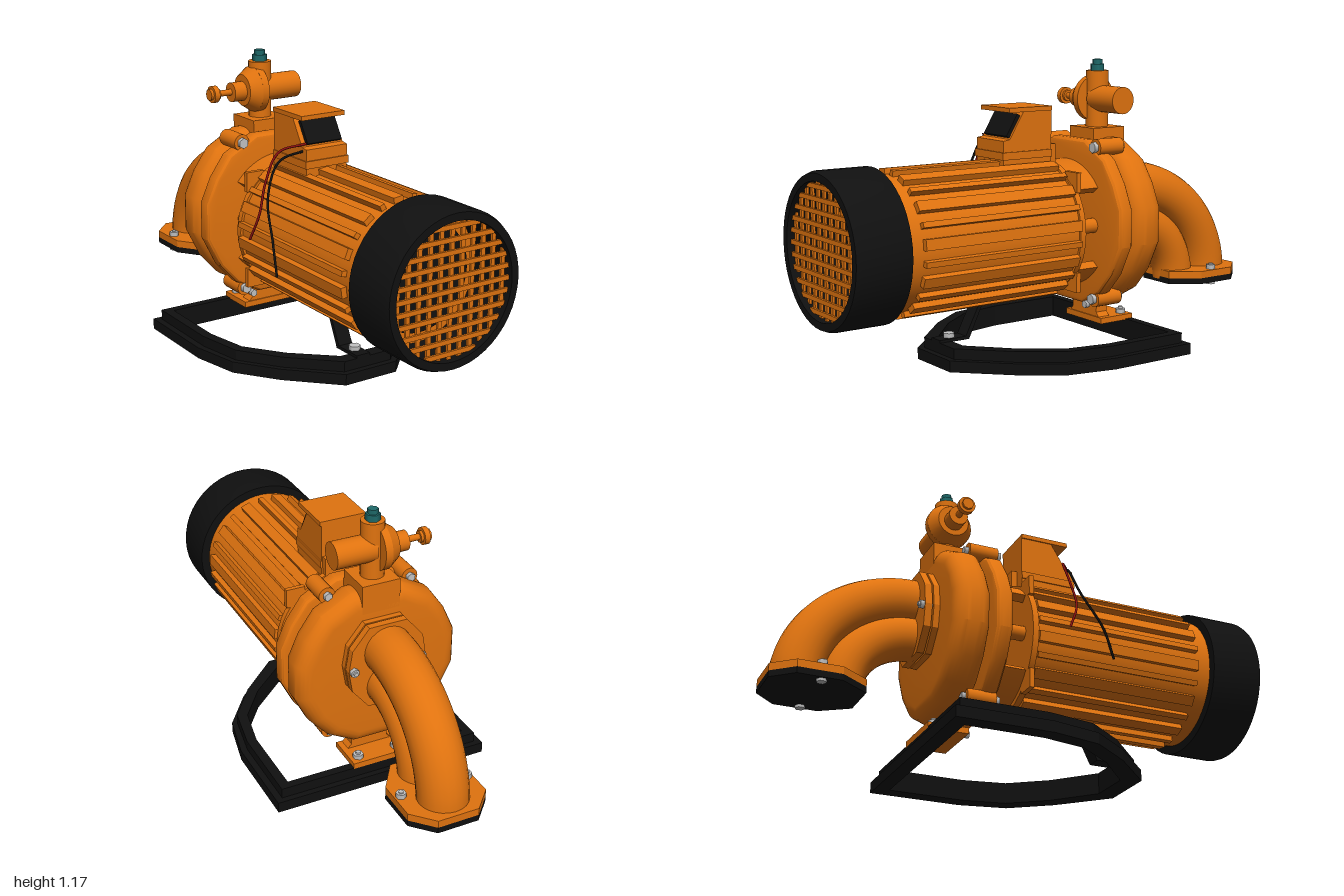
import * as THREE from 'three';
import { toCreasedNormals } from 'three/addons/utils/BufferGeometryUtils.js';

const material = (name, color, side = THREE.FrontSide) => {
  const m = new THREE.MeshStandardMaterial({ color, side });
  m.name = name;
  return m;
};

export function createModel() {
  const orange = material('orange paint', 0xe0730f, THREE.DoubleSide);
  const black = material('black rubber', 0x101010, THREE.DoubleSide);
  const steel = material('steel', 0xc4c4c4);
  const teal = material('teal fitting', 0x1f6b6b);
  const red = material('red wire', 0x8b1010);
  const root = new THREE.Group();
  root.name = 'motorPump';
  const AXIS = 0.51; // height of the motor shaft

  const add = (name, geo, mat, x = 0, y = 0, z = 0) => {
    const m = new THREE.Mesh(geo, mat);
    m.name = name;
    m.position.set(x, y, z);
    root.add(m);
    return m;
  };
  const box = (name, mat, x0, x1, y0, y1, z0, z1) =>
    add(name, new THREE.BoxGeometry(x1 - x0, y1 - y0, z1 - z0), mat, (x0 + x1) / 2, (y0 + y1) / 2, (z0 + z1) / 2);
  // Cylinder along an axis, centred on a point
  const rod = (name, mat, axis, r, len, x, y, z, sides = 24, r2 = r) => {
    const g = new THREE.CylinderGeometry(r2, r, len, sides);
    if (axis === 'x') g.rotateZ(-Math.PI / 2);
    if (axis === 'z') g.rotateX(Math.PI / 2);
    return add(name, g, mat, x, y, z);
  };
  // Mirrored outline from the +x half
  const outline = (half) => new THREE.Shape(
    [...half, ...half.slice().reverse().map(([x, y]) => [-x, y])].map(([x, y]) => new THREE.Vector2(x, y)));
  const plate = (shape, depth, bevel = 0, segments = 1) => {
    const g = new THREE.ExtrudeGeometry(shape, {
      depth: depth - 2 * bevel, bevelEnabled: bevel > 0, bevelSize: bevel, bevelThickness: bevel,
      bevelOffset: -bevel, bevelSegments: segments, curveSegments: 20,
    });
    g.translate(0, 0, bevel);
    return segments > 1 ? toCreasedNormals(g, 0.5) : g;
  };
  // Plate whose outline is given in x and z, hanging down from y = 0
  const flatPlate = (shape, depth) => plate(shape, depth).rotateX(Math.PI / 2);
  const lathe = (pts, seg = 48) => toCreasedNormals(
    new THREE.LatheGeometry(pts.map(([r, z]) => new THREE.Vector2(r, z)), seg).rotateX(Math.PI / 2), 0.5);

  // Motor body with cooling ribs
  rod('motorBody', orange, 'z', 0.265, 0.79, 0, AXIS, 0.385, 48);
  for (let i = 0; i < 24; i++) {
    const a = ((i + 0.5) / 24) * Math.PI * 2;
    const wide = i % 2 === 0;
    const rib = add('coolingRib', new THREE.BoxGeometry(0.04, wide ? 0.042 : 0.022, 0.71), orange,
      Math.cos(a) * 0.267, AXIS + Math.sin(a) * 0.267, 0.355);
    rib.rotation.z = a;
  }
  rod('motorEndRing', orange, 'z', 0.275, 0.025, 0, AXIS, -0.012, 48);
  for (const s of [-1, 1]) for (const t of [-1, 1])
    box('motorEndEar', orange, s * 0.2 - 0.04, s * 0.2 + 0.04, AXIS + t * 0.2 - 0.04, AXIS + t * 0.2 + 0.04, -0.025, -0.005);
  box('motorTopLug', orange, -0.07, 0.07, 0.75, 0.85, -0.025, 0);

  // Fan cover, open at the front
  add('fanCover', lathe([[0.265, 0.775], [0.3, 0.775], [0.3, 0.98], [0.292, 1], [0.262, 1], [0.262, 0.775]]), black, 0, AXIS);
  rod('fanBack', orange, 'z', 0.262, 0.02, 0, AXIS, 0.775, 48);
  rod('fanDisc', black, 'z', 0.215, 0.03, 0, AXIS, 0.79, 32);
  const step = 0.0475;
  for (let i = -5; i <= 5; i++) {
    const p = i * step;
    const half = Math.sqrt(0.264 ** 2 - p * p);
    box('grilleUpright', orange, p - 0.009, p + 0.009, AXIS - half, AXIS + half, 0.965, 0.975);
    box('grilleCrossbar', orange, -half, half, AXIS + p - 0.009, AXIS + p + 0.009, 0.973, 0.983);
  }

  // Open lantern between motor and pump
  const arc = new THREE.Shape();
  arc.absarc(0, 0, 0.26, Math.PI / 2 - 0.9, Math.PI / 2 + 0.9, false);
  arc.absarc(0, 0, 0.225, Math.PI / 2 + 0.9, Math.PI / 2 - 0.9, true);
  for (const turn of [0, Math.PI])
    add('lanternShell', plate(arc, 0.14), orange, 0, AXIS + 0.005, -0.155).rotation.z = turn;
  for (const s of [-1, 1]) rod('lanternStrut', orange, 'z', 0.03, 0.14, s * 0.175, 0.52, -0.085, 16);

  // Pump cover and volute casing
  const casing = outline([[0.11, 0.86], [0.236, 0.79], [0.3, 0.7], [0.345, 0.6], [0.345, 0.45], [0.285, 0.33], [0.21, 0.245], [0.1, 0.185]]);
  add('pumpCover', plate(casing, 0.07, 0.02, 3), orange, 0, 0, -0.207);
  add('volute', plate(casing, 0.15, 0.06, 6), orange, 0, 0, -0.37);
  for (const s of [-1, 1]) {
    for (const [x, y] of [[0.177, 0.835], [0.17, 0.215]]) {
      rod('casingEar', orange, 'z', 0.034, 0.12, s * x, y, -0.205, 20);
      rod('casingBolt', steel, 'z', 0.022, 0.02, s * x, y, -0.137, 6);
      rod('casingBoltNut', steel, 'z', 0.018, 0.02, s * x, y, -0.272, 6);
    }
    rod('lowerBolt', steel, 'z', 0.016, 0.02, s * 0.14, 0.19, -0.13, 6);
  }

  // Inlet flange, elbow made of two joined bends, and foot flange
  const inlet = outline([[0.08, 0.755], [0.15, 0.67], [0.165, 0.58], [0.15, 0.49], [0.08, 0.405]]);
  add('inletFlange', plate(inlet, 0.032), orange, 0, 0, -0.395);
  add('elbowFlange', plate(inlet, 0.03), orange, 0, 0, -0.431);
  const bend = (name, a, b, r) => {
    const pts = [];
    for (let i = 0; i <= 10; i++) {
      const t = (i / 10) * Math.PI / 2;
      pts.push(new THREE.Vector3(0, 0.22 + b * Math.cos(t), -0.42 - a * Math.sin(t)));
    }
    add(name, new THREE.TubeGeometry(new THREE.CatmullRomCurve3(pts), 28, r, 24), orange);
  };
  bend('outerBend', 0.462, 0.422, 0.1);
  bend('innerBend', 0.29, 0.27, 0.088);
  const foot = outline([[0.085, -1], [0.165, -0.915], [0.165, -0.74], [0.085, -0.625]]);
  add('outletFlange', flatPlate(foot, 0.03), orange, 0, 0.255);
  add('outletGasket', flatPlate(foot, 0.025), black, 0, 0.225);
  for (const s of [-1, 1]) {
    rod('outletBolt', steel, 'y', 0.01, 0.09, s * 0.14, 0.235, -0.815, 12);
    rod('outletNut', steel, 'y', 0.02, 0.02, s * 0.14, 0.265, -0.815, 6);
    rod('outletBoltHead', steel, 'y', 0.02, 0.012, s * 0.14, 0.195, -0.815, 6);
    rod('inletBolt', steel, 'z', 0.009, 0.1, s * 0.145, 0.58, -0.405, 12);
    rod('inletNut', steel, 'z', 0.018, 0.018, s * 0.145, 0.58, -0.438, 6);
  }

  // Valve on top
  box('valveBase', orange, -0.08, 0.08, 0.78, 0.9, -0.37, -0.21);
  rod('valveStem', orange, 'y', 0.047, 0.25, 0, 1.005, -0.29);
  rod('valveDisc', orange, 'x', 0.065, 0.045, -0.062, 1.015, -0.29, 28, 0.095);
  rod('valveDiscRim', orange, 'x', 0.095, 0.03, -0.025, 1.015, -0.29, 28);
  rod('valveOutlet', orange, 'x', 0.055, 0.17, 0.085, 1.015, -0.29, 28);
  rod('valveNeck', orange, 'x', 0.04, 0.06, -0.11, 1.012, -0.29);
  rod('valveSpindle', orange, 'x', 0.013, 0.08, -0.175, 1.013, -0.29, 12);
  rod('valveKnob', orange, 'x', 0.024, 0.045, -0.22, 1.013, -0.29, 8);
  rod('valveKnobRim', orange, 'x', 0.035, 0.022, -0.22, 1.013, -0.29, 16);
  rod('plugNut', teal, 'y', 0.03, 0.028, 0, 1.143, -0.29, 6);
  rod('plugTop', teal, 'y', 0.022, 0.022, 0, 1.165, -0.29, 6);

  // Terminal box with a sloping dark panel and a hood
  const side = new THREE.Shape([[0, 0.76], [-0.23, 0.76], [-0.23, 0.875], [-0.2, 0.88], [-0.135, 0.985], [0, 0.985]]
    .map(([a, b]) => new THREE.Vector2(a, b)));
  add('terminalBox', plate(side, 0.19).rotateY(Math.PI / 2), orange, -0.115);
  box('terminalHood', orange, -0.12, 0.08, 0.985, 1.003, 0, 0.205);
  box('terminalSkirt', orange, -0.12, 0.08, 0.8, 0.83, 0.0, 0.236);
  const panel = add('terminalPanel', new THREE.BoxGeometry(0.16, 0.1, 0.02), black, -0.015, 0.93, 0.175);
  panel.rotation.x = -0.55;

  // Loose wires
  const wire = (name, mat, pts) => add(name, new THREE.TubeGeometry(
    new THREE.CatmullRomCurve3(pts.map((p) => new THREE.Vector3(...p))), 32, 0.005, 6), mat);
  wire('blackWire', black, [[-0.1, 0.87, 0.21], [-0.2, 0.83, 0.17], [-0.265, 0.7, 0.19], [-0.295, 0.55, 0.27], [-0.302, 0.42, 0.31]]);
  wire('redWire', red, [[-0.1, 0.895, 0.21], [-0.19, 0.86, 0.15], [-0.25, 0.75, 0.15], [-0.285, 0.63, 0.16], [-0.305, 0.52, 0.12]]);

  // Base frame: a wide lower rim and a narrower upper rim
  const frame = (name, half, top, depth) => {
    const shape = outline(half);
    shape.holes.push(outline([[0.395, -0.355], [0.395, -0.04], [0.36, 0.14], [0.25, 0.29], [0.09, 0.435]]));
    add(name, flatPlate(shape, depth), black, 0, top);
  };
  frame('frameLowerRim', [[0.462, -0.415], [0.462, -0.03], [0.42, 0.17], [0.3, 0.335], [0.12, 0.515]], 0.05, 0.045);
  frame('frameUpperRim', [[0.435, -0.39], [0.435, -0.035], [0.4, 0.16], [0.285, 0.32], [0.11, 0.49]], 0.092, 0.045);

  // Pump foot and bolts
  add('pumpFootWeb', plate(outline([[0.08, 0.24], [0.08, 0.13], [0.115, 0.09]]), 0.055), orange, 0, 0, -0.285);
  box('pumpFootBase', orange, -0.12, 0.12, 0.088, 0.112, -0.39, -0.225);
  for (const s of [-1, 1]) {
    rod('footBolt', steel, 'y', 0.01, 0.05, s * 0.085, 0.115, -0.355, 12);
    rod('footNut', steel, 'y', 0.022, 0.018, s * 0.085, 0.122, -0.355, 6);
  }

  // Bent strap carrying the motor
  const strap = new THREE.Shape([[-0.49, 0.09], [-0.355, 0.09], [-0.29, 0.225], [-0.23, 0.235], [-0.23, 0.25], [-0.3, 0.24], [-0.37, 0.103], [-0.49, 0.103]]
    .map(([a, b]) => new THREE.Vector2(a, b)));
  add('motorStrap', plate(strap, 0.063).rotateY(Math.PI / 2), black, -0.053);
  rod('strapBolt', steel, 'y', 0.024, 0.018, -0.021, 0.112, 0.43, 6);

  return root;
}
